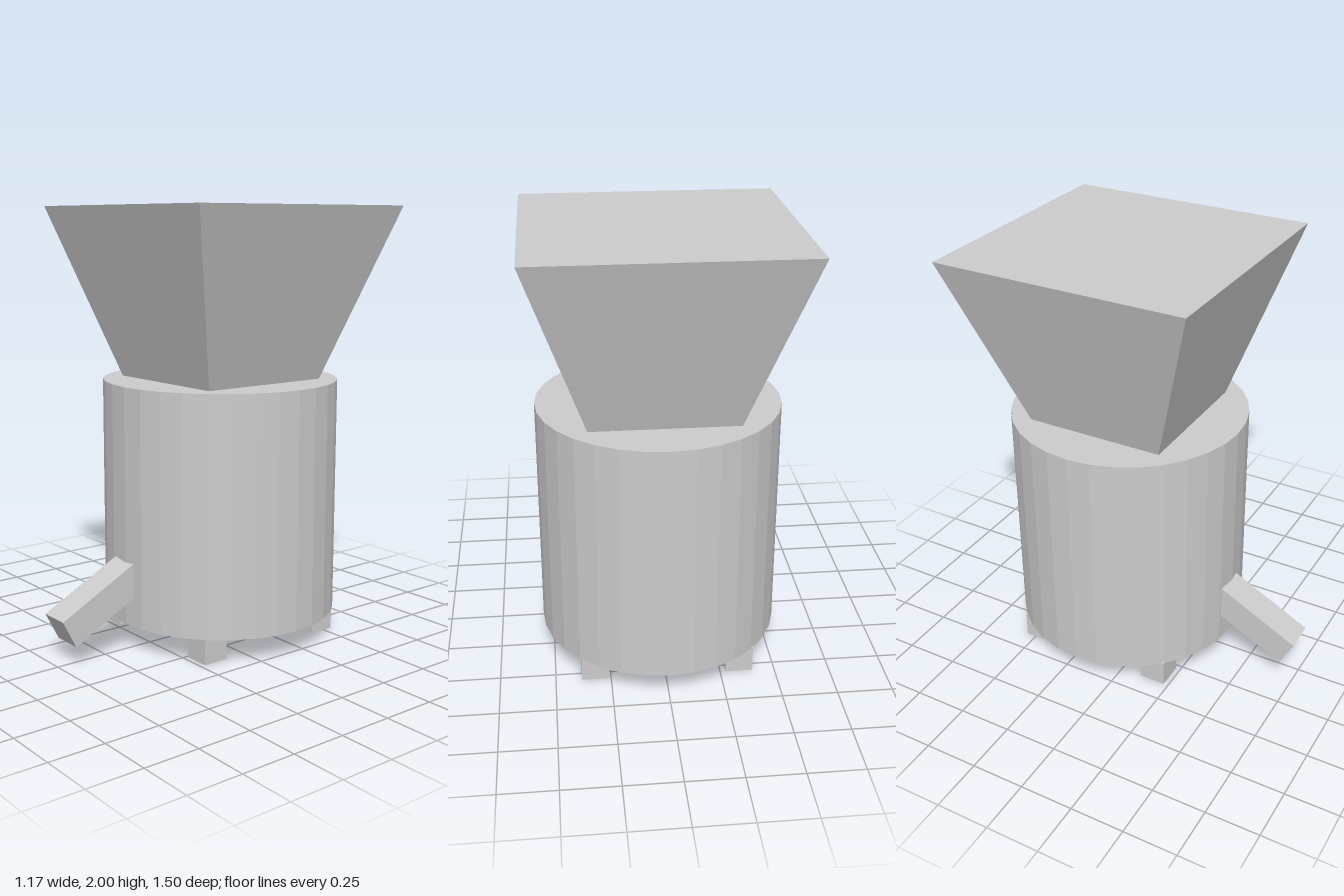
import * as THREE from 'three';

export function createModel() {
  const model = new THREE.Group();
  const grey = new THREE.MeshStandardMaterial({ color: 0xcccccc });
  grey.name = 'light grey';
  const centreZ = -0.164;

  // Adds a facetted part
  function addPart(name, geometry, x, y, z) {
    const facetted = geometry.toNonIndexed();
    facetted.computeVertexNormals();
    const mesh = new THREE.Mesh(facetted, grey);
    mesh.name = name;
    mesh.position.set(x, y, z);
    model.add(mesh);
    return mesh;
  }

  // Drum body
  const bottom = 0.117, top = 1.21;
  addPart('body', new THREE.CylinderGeometry(0.547, 0.547, top - bottom, 32), 0, (top + bottom) / 2, centreZ);

  // Square hopper widening upwards
  const hopper = new THREE.CylinderGeometry(0.584 * Math.SQRT2, 0.327 * Math.SQRT2, 2 - top, 4);
  hopper.rotateY(Math.PI / 4);
  addPart('hopper', hopper, 0, (2 + top) / 2, centreZ);

  // Spout sloping down and forwards from the body wall
  const slope = 0.477, length = 0.55;
  const spout = addPart('spout', new THREE.BoxGeometry(0.148, 0.142, length), -0.021,
    0.156 + Math.sin(slope) * length / 2, 0.718 - Math.cos(slope) * length / 2);
  spout.rotation.x = slope;

  // Four cube feet
  for (const [side, x] of [['Right', -0.337], ['Left', 0.32]]) {
    for (const [end, z] of [['front', 0.165], ['back', -0.486]]) {
      addPart(end + side + 'Foot', new THREE.BoxGeometry(0.124, 0.124, 0.124), x, 0.062, z);
    }
  }

  return model;
}
